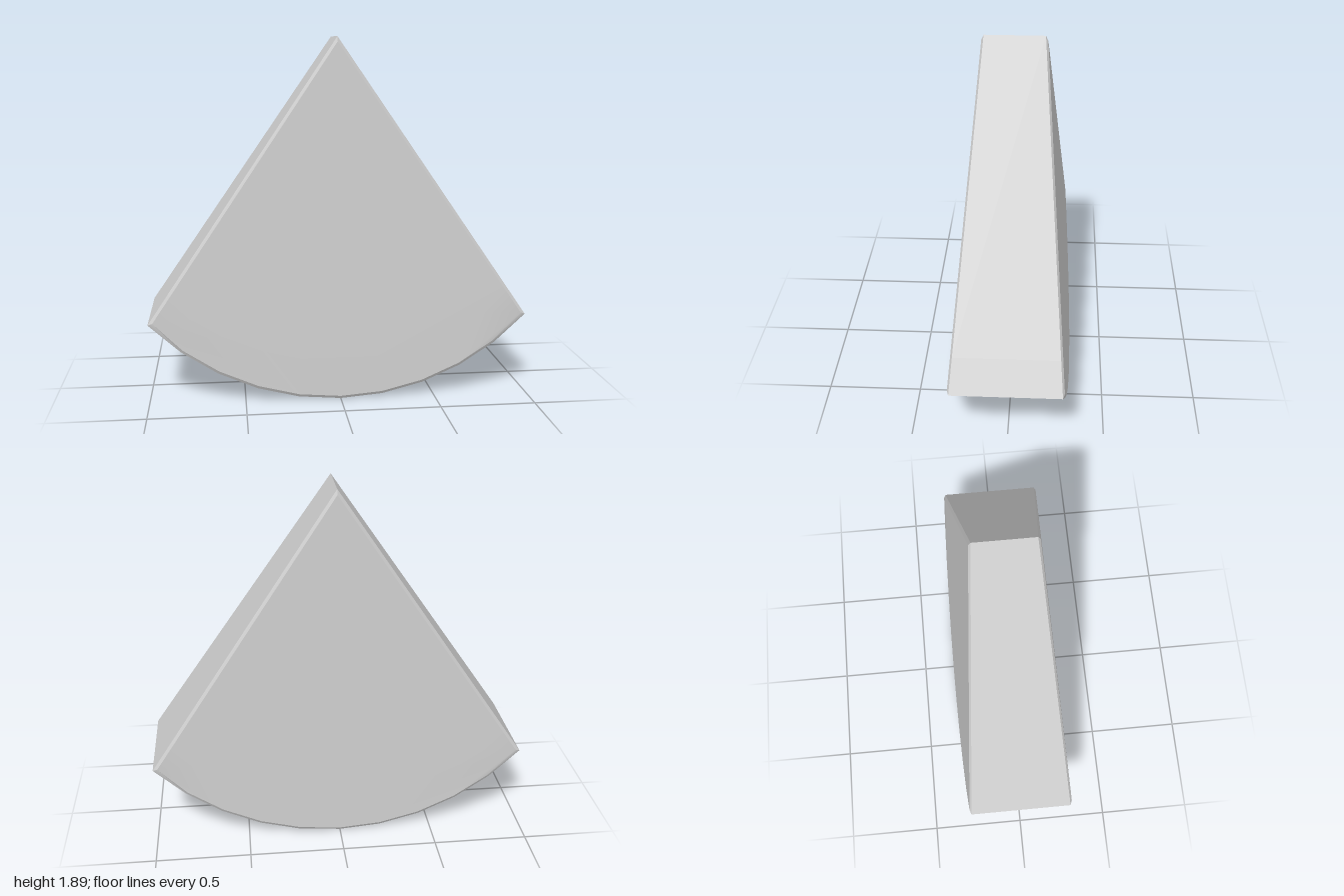
import * as THREE from 'three';
import { toCreasedNormals } from 'three/addons/utils/BufferGeometryUtils.js';

const APEX = 1.89, SLOPE = 1 / 1.47, BEVEL = 0.015, SEGMENTS = 10;
const halfDepth = (y) => 0.325 - 0.0847 * y; // slab gets thinner towards the tip

// Arc from -x to +x; each point holds its full and its bevel-inset position
function arc(radius, centreY, halfWidth, inset) {
  const sweep = Math.asin(halfWidth / radius);
  return Array.from({ length: SEGMENTS + 1 }, (_, i) => {
    const a = sweep * (2 * i / SEGMENTS - 1);
    const at = (r) => new THREE.Vector2(r * Math.sin(a), centreY - r * Math.cos(a));
    const inner = at(radius - inset);
    const limit = (APEX - inner.y) * SLOPE - BEVEL * 1.2;
    inner.x = THREE.MathUtils.clamp(inner.x, -limit, limit);
    return { full: at(radius), inner };
  });
}

// Tapered slab with bevelled front and back edges, from a counter-clockwise outline
function slab(name, outline, material) {
  const n = outline.length;
  const row = (key, sign, drop) => outline.map((p) => {
    const v = p[key];
    return [v.x, v.y, sign * (halfDepth(v.y) - drop)];
  });
  const rows = [row('inner', 1, 0), row('full', 1, 0.01), row('full', -1, 0.01), row('inner', -1, 0)];
  const index = [];
  for (let k = 0; k < 3; k++) {
    for (let i = 0; i < n; i++) {
      const j = (i + 1) % n;
      const a = k * n + i, b = a + n, d = k * n + j, c = d + n;
      index.push(a, b, c, a, c, d);
    }
  }
  for (const [a, b, c] of THREE.ShapeUtils.triangulateShape(outline.map((p) => p.inner), [])) {
    index.push(a, b, c, 3 * n + a, 3 * n + c, 3 * n + b);
  }
  const geometry = new THREE.BufferGeometry();
  geometry.setAttribute('position', new THREE.Float32BufferAttribute(rows.flat(2), 3));
  geometry.setIndex(index);
  const mesh = new THREE.Mesh(toCreasedNormals(geometry, 0.4), material);
  mesh.name = name;
  return mesh;
}

export function createModel() {
  const group = new THREE.Group();
  group.name = 'wedgeSlice';
  const material = new THREE.MeshStandardMaterial({ color: 0xcccccc });

  const seam = arc(1.28, 1.485, 0.897, 0);
  const rim = arc(1.4, 1.4, 1, BEVEL);
  const tip = { full: new THREE.Vector2(0, APEX), inner: new THREE.Vector2(0, APEX - BEVEL * 1.78) };

  // Body from the seam up to the tip, and the curved rind below it
  group.add(slab('flesh', [...seam, tip], material));
  group.add(slab('rind', [...rim, ...[...seam].reverse()], material));
  return group;
}
